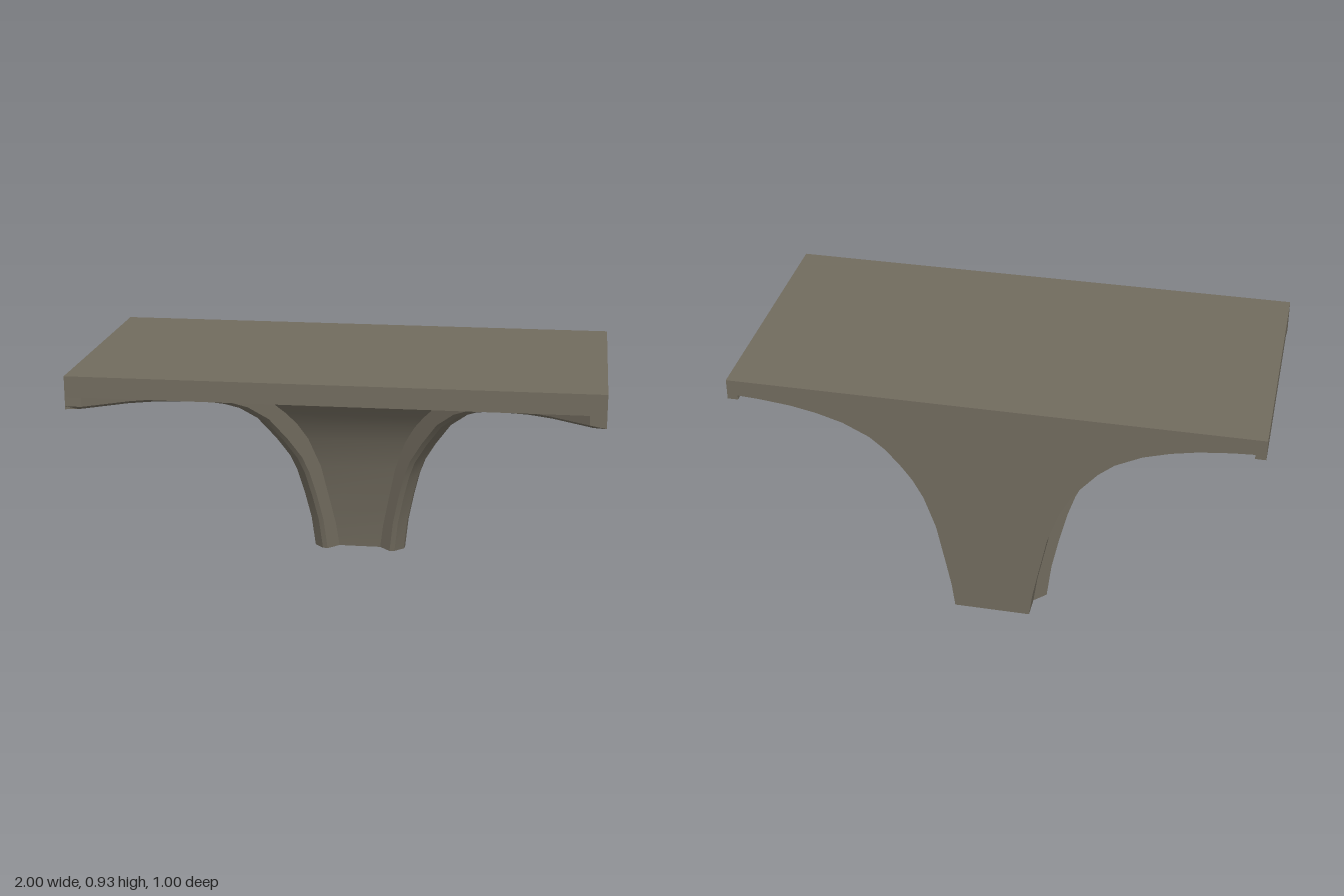
import * as THREE from 'three';
import { toCreasedNormals } from 'three/addons/utils/BufferGeometryUtils.js';

// Vault curve: [distance from the back wall or centre line, height]
const VAULT = [
  [0.147, 0], [0.16, 0.1], [0.18, 0.2], [0.215, 0.37], [0.26, 0.5], [0.3, 0.575], [0.34, 0.63],
  [0.4, 0.7], [0.46, 0.75], [0.56, 0.8], [0.66, 0.83], [0.76, 0.85], [0.88, 0.863], [1, 0.87],
];
// Outer curve of the diagonal ribs, measured the same way
const RIB = [
  [0.17, 0], [0.185, 0.13], [0.21, 0.25], [0.235, 0.35], [0.26, 0.42], [0.31, 0.51], [0.375, 0.61],
  [0.445, 0.675], [0.51, 0.712], [0.58, 0.74], [0.73, 0.775], [0.82, 0.789], [0.97, 0.802], [1.03, 0.803],
];
// Rib section: [sideways, inward], with chamfered outer edges
const SECTION = [
  [-0.03, 0.085], [-0.03, 0.012], [-0.018, 0], [0.018, 0], [0.03, 0.012], [0.03, 0.085],
];

// Skin between stacked rows of points, with the bottom row capped
function loft(rows) {
  const pos = [];
  const tri = (...pts) => pts.forEach((p) => pos.push(...p));
  const n = rows[0].length;
  for (let i = 0; i < rows.length - 1; i++) {
    for (let j = 0; j < n - 1; j++) {
      const a = rows[i][j], b = rows[i][j + 1], c = rows[i + 1][j + 1], d = rows[i + 1][j];
      tri(a, b, c);
      tri(a, c, d);
    }
  }
  for (let j = 1; j < n - 1; j++) tri(rows[0][0], rows[0][j + 1], rows[0][j]);
  const geo = new THREE.BufferGeometry();
  geo.setAttribute('position', new THREE.Float32BufferAttribute(pos, 3));
  return toCreasedNormals(geo, 0.5);
}

// Rib rows running out along the diagonal, trimmed at the slab corner
function ribRows(side) {
  const last = RIB.length - 1;
  return RIB.map(([d, y], i) => {
    const p = RIB[Math.max(i - 1, 0)], q = RIB[Math.min(i + 1, last)];
    const t = new THREE.Vector2((q[0] - p[0]) * Math.SQRT2, q[1] - p[1]).normalize();
    if (i === 0) t.set(0, 1);
    if (i === last) t.set(1, 0);
    const row = SECTION.map(([s, inward]) => {
      const along = d - (t.y * inward) / Math.SQRT2;
      const x = Math.min(along + s, 1), z = Math.min(along - s, 1);
      return [side * x, Math.max(y + t.x * inward, 0), z - 0.5];
    });
    return side > 0 ? row : row.reverse();
  });
}

export function createModel() {
  const group = new THREE.Group();
  const stone = new THREE.MeshStandardMaterial({ color: 0x716b5e, side: THREE.DoubleSide });
  stone.name = 'stone';

  const add = (name, geo, x = 0, y = 0, z = 0) => {
    const mesh = new THREE.Mesh(geo, stone);
    mesh.name = name;
    mesh.position.set(x, y, z);
    group.add(mesh);
  };

  // Flat slab with a shallow rim on its three open edges
  add('slab', new THREE.BoxGeometry(2, 0.06, 1), 0, 0.9, 0);
  add('frontRim', new THREE.BoxGeometry(2, 0.02, 0.04), 0, 0.86, 0.48);
  for (const side of [1, -1]) {
    add(side > 0 ? 'leftRim' : 'rightRim', new THREE.BoxGeometry(0.04, 0.02, 0.96), side * 0.98, 0.86, -0.02);
  }

  // Pier that flares up into the two crossing vaults, flat at the back
  add('vaultedPier', loft(VAULT.map(([f, y]) => [
    [-f, y, -0.5], [-f, y, f - 0.5], [f, y, f - 0.5], [f, y, -0.5], [-f, y, -0.5],
  ])));

  // Diagonal ribs
  add('leftRib', loft(ribRows(1)));
  add('rightRib', loft(ribRows(-1)));

  return group;
}
